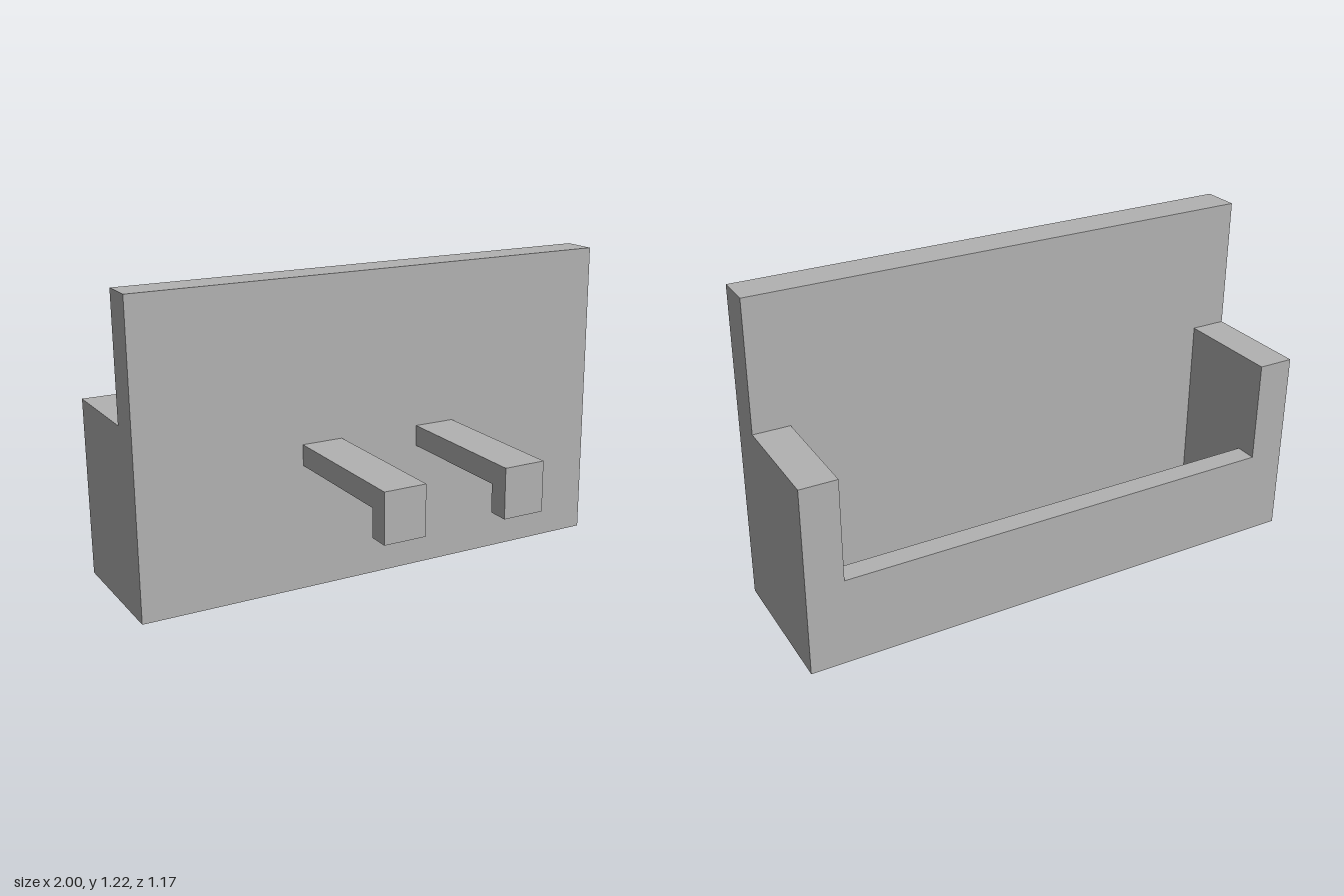
import * as THREE from 'three';

export function createModel() {
  const model = new THREE.Group();
  model.name = 'trayHolder';
  const grey = new THREE.MeshStandardMaterial({ color: 0xb2b2b2 });
  grey.name = 'light grey';

  const U = 1 / 36; // design unit: the model is 72 units wide
  const zBack = -21, zRail = -18, zPanelBack = -6, zPanel = -1, zTip = 21;

  // Box given by its minimum and maximum corners, in design units
  function box(name, min, max) {
    const size = max.map((v, i) => (v - min[i]) * U);
    const mesh = new THREE.Mesh(new THREE.BoxGeometry(...size), grey);
    mesh.position.set(...max.map((v, i) => ((v + min[i]) / 2) * U));
    mesh.name = name;
    model.add(mesh);
  }

  // Tall panel, with an open tray behind it
  box('frontPanel', [-36, 0, zPanel - 5], [36, 44, zPanel]);
  box('leftWall', [31, 0, zBack], [36, 26, zPanelBack]);
  box('rightWall', [-36, 0, zBack], [-31, 26, zPanelBack]);
  box('backRail', [-31, 0, zBack], [31, 12, zRail]);
  box('trayFloor', [-31, 0, zRail], [31, 3, zPanelBack]);

  // Two hooks: an L profile in (z, y), extruded across x
  const profile = new THREE.Shape(
    [[zPanel, 18], [zTip - 3, 18], [zTip - 3, 14], [zTip, 14], [zTip, 21], [zPanel, 21]]
      .map(([z, y]) => new THREE.Vector2(-z * U, y * U))
  );
  const hookGeometry = new THREE.ExtrudeGeometry(profile, { depth: 6 * U, bevelEnabled: false });
  hookGeometry.translate(0, 0, -3 * U);
  hookGeometry.rotateY(Math.PI / 2); // profile -x becomes +z
  for (const side of [1, -1]) {
    const hook = new THREE.Mesh(hookGeometry, grey);
    hook.position.x = side * 9 * U;
    hook.name = side > 0 ? 'leftHook' : 'rightHook';
    model.add(hook);
  }
  return model;
}
